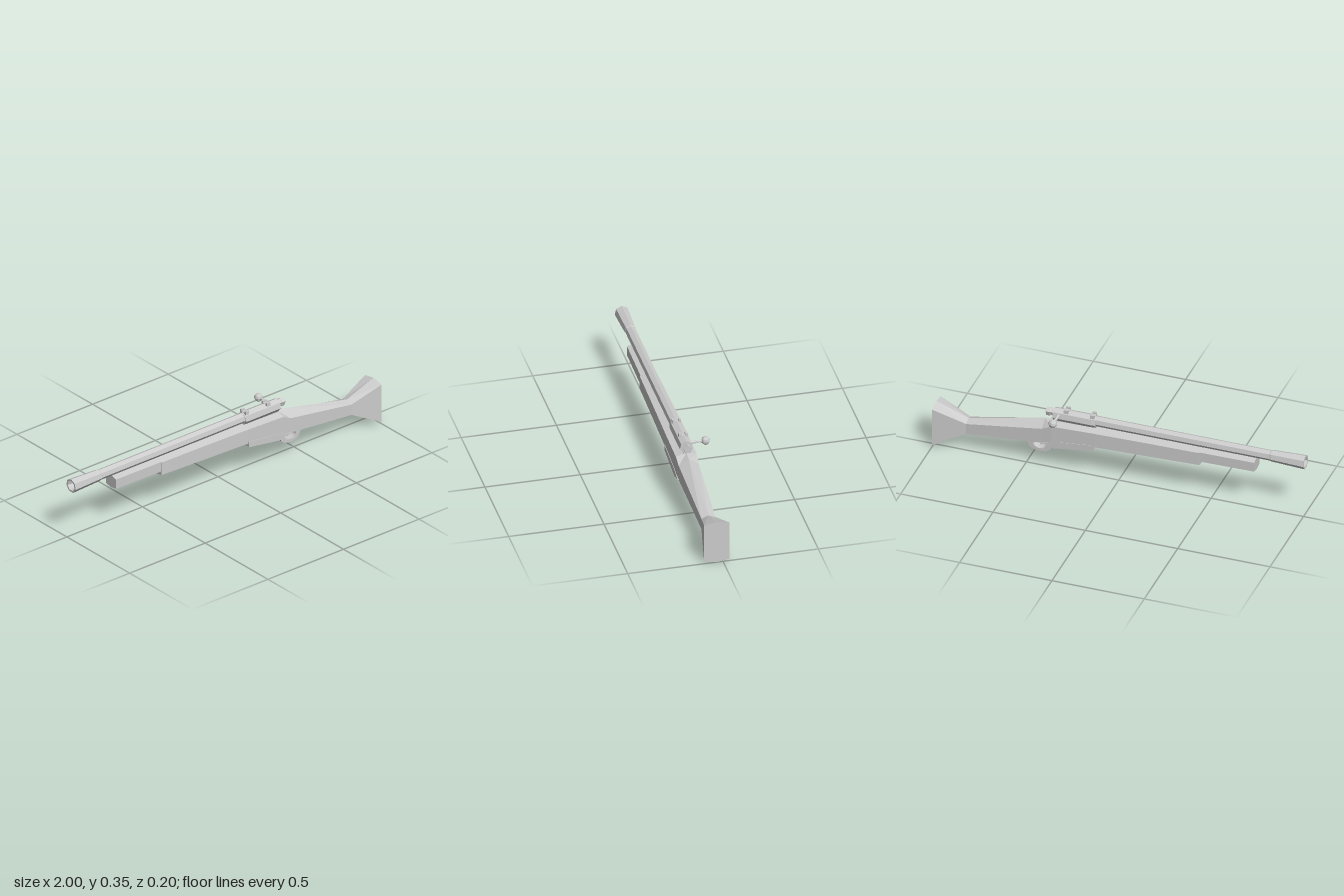
import * as THREE from 'three';

const CZ = 0.033; // centre plane of the long parts
const mat = new THREE.MeshStandardMaterial({ color: 0xcccccc, flatShading: true });
const matDouble = new THREE.MeshStandardMaterial({ color: 0xcccccc, flatShading: true, side: THREE.DoubleSide });

function add(group, name, geo, x = 0, y = 0, z = CZ, material = mat) {
  const m = new THREE.Mesh(geo, material);
  m.name = name;
  m.position.set(x, y, z);
  group.add(m);
  return m;
}

// Six-sided loft along x. Station: [x, top ridge, top edge, bottom edge, bottom ridge, half width]
function loft(stations) {
  const rings = stations.map(([x, t, te, be, b, w]) =>
    [[x, t, 0], [x, te, w], [x, be, w], [x, b, 0], [x, be, -w], [x, te, -w]]);
  const pos = [];
  const tri = (a, b, c) => pos.push(...a, ...b, ...c);
  for (let i = 0; i < rings.length - 1; i++) {
    for (let k = 0; k < 6; k++) {
      const n = (k + 1) % 6, p = rings[i], q = rings[i + 1];
      tri(p[k], p[n], q[n]);
      tri(p[k], q[n], q[k]);
    }
  }
  const first = rings[0], last = rings[rings.length - 1];
  for (let k = 1; k < 5; k++) {
    tri(first[0], first[k + 1], first[k]);
    tri(last[0], last[k], last[k + 1]);
  }
  const g = new THREE.BufferGeometry();
  g.setAttribute('position', new THREE.Float32BufferAttribute(pos, 3));
  g.computeVertexNormals();
  return g;
}

// Faceted turned part along x with one corner upward. Profile: [radius, x]
function turned(profile, sides) {
  const pts = profile.map(([r, x]) => new THREE.Vector2(r, x));
  return new THREE.LatheGeometry(pts, sides, -Math.PI / 2).rotateZ(-Math.PI / 2);
}

// Side outline extruded symmetrically across z
function slab(points, width, hole) {
  const s = new THREE.Shape(points.map(([x, y]) => new THREE.Vector2(x, y)));
  if (hole) s.holes.push(hole);
  return new THREE.ExtrudeGeometry(s, { depth: width, bevelEnabled: false, curveSegments: 8 })
    .translate(0, 0, -width / 2);
}

export function createModel() {
  const root = new THREE.Group();
  root.name = 'rifle';

  // Wooden stock: slim fore end, then the body running into wrist and butt
  add(root, 'foreEnd', loft([
    [-0.735, 0.28, 0.27, 0.217, 0.21, 0.039],
    [-0.43, 0.28, 0.27, 0.215, 0.207, 0.042],
  ]));
  add(root, 'stock', loft([
    [-0.44, 0.28, 0.268, 0.196, 0.187, 0.046],
    [-0.17, 0.281, 0.268, 0.19, 0.18, 0.05],
    [0.13, 0.28, 0.266, 0.185, 0.174, 0.055],
    [0.36, 0.275, 0.258, 0.155, 0.143, 0.055],
    [0.41, 0.268, 0.232, 0.148, 0.136, 0.052],
    [0.825, 0.175, 0.16, 0.1, 0.09, 0.037],
    [1.0, 0.24, 0.227, 0.01, 0.0, 0.066],
  ]));

  // Magazine floor, widened against the stock sides with a pointed tail
  add(root, 'magazine', slab([
    [0.13, 0.195], [0.13, 0.163], [0.345, 0.131], [0.365, 0.142], [0.41, 0.15], [0.32, 0.172],
  ], 0.115));

  // Trigger guard ring and trigger
  const outer = [], hole = new THREE.Path();
  for (let i = 0; i < 12; i++) {
    const a = i / 12 * Math.PI * 2;
    outer.push([0.43 + 0.066 * Math.cos(a), 0.118 + 0.042 * Math.sin(a)]);
  }
  hole.absellipse(0.43, 0.118, 0.037, 0.024, 0, Math.PI * 2, true);
  add(root, 'triggerGuard', slab(outer, 0.05, hole));
  add(root, 'guardFront', slab([[0.335, 0.15], [0.345, 0.12], [0.362, 0.12], [0.375, 0.15]], 0.05));
  add(root, 'trigger', slab([
    [0.425, 0.15], [0.42, 0.125], [0.425, 0.106], [0.435, 0.104], [0.432, 0.125], [0.442, 0.15],
  ], 0.014));

  // Barrel with a hollow flared muzzle
  add(root, 'barrel', turned([
    [0, -0.9], [0.018, -0.9], [0.028, -1.0], [0.038, -1.0], [0.031, -0.82],
    [0.028, -0.81], [0.028, 0.15], [0, 0.15],
  ], 7), 0, 0.31, CZ, matDouble);

  // Receiver
  add(root, 'receiver', turned([
    [0, 0.13], [0.033, 0.13], [0.035, 0.15], [0.035, 0.36], [0, 0.36],
  ], 7), 0, 0.307, CZ, matDouble);
  add(root, 'receiverBase', new THREE.BoxGeometry(0.22, 0.035, 0.03), 0.25, 0.278);

  // Bolt tail
  add(root, 'bolt', turned([
    [0, 0.3], [0.02, 0.3], [0.02, 0.375], [0.024, 0.38], [0.024, 0.4], [0, 0.4],
  ], 5), 0, 0.315, CZ, matDouble);

  // Bolt handle and knob, on the back side
  const handle = new THREE.CylinderGeometry(0.006, 0.012, 0.09, 6).rotateX(-Math.PI / 2);
  add(root, 'boltHandle', handle, 0.33, 0.314, -0.022);
  add(root, 'boltKnob', new THREE.SphereGeometry(0.023, 8, 6), 0.33, 0.315, -0.075);

  // Notched sights
  for (const [x, w] of [[0.148, 0.022], [0.29, 0.024]]) {
    add(root, 'sightBase', new THREE.BoxGeometry(w, 0.016, 0.046), x, 0.334);
    for (const s of [-1, 1]) {
      add(root, 'sightPost', new THREE.BoxGeometry(w, 0.02, 0.012), x, 0.341, CZ + s * 0.017);
    }
  }
  return root;
}
